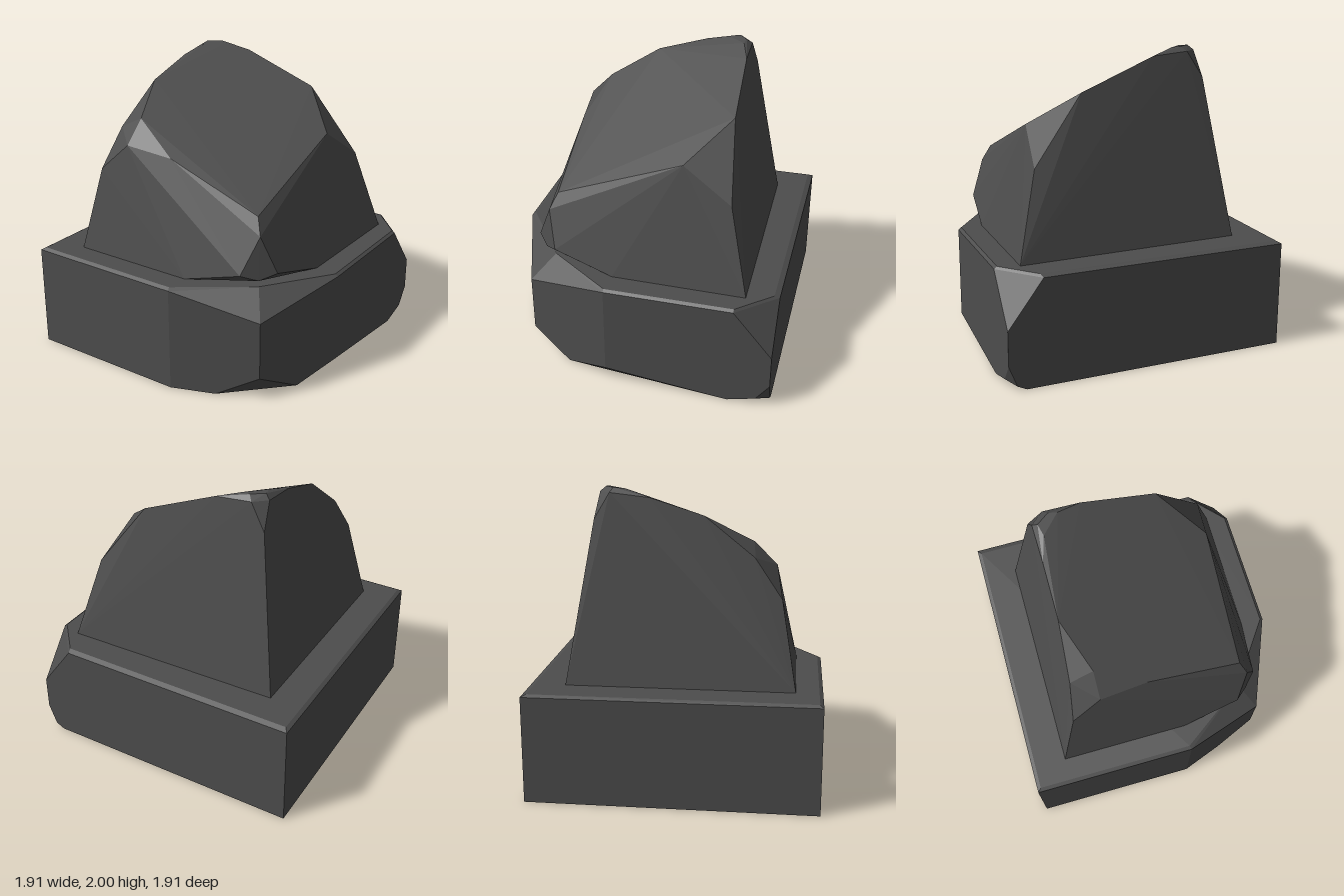
import * as THREE from 'three';
import { ConvexGeometry } from 'three/addons/geometries/ConvexGeometry.js';

const stone = new THREE.MeshStandardMaterial({ color: 0x4d4d4d, flatShading: true });
stone.name = 'dark stone';

// A chiselled block: the convex hull of its corner points
function block(name, corners) {
  const points = corners.map(([x, y, z]) => new THREE.Vector3(x, y, z));
  const mesh = new THREE.Mesh(new ConvexGeometry(points), stone);
  mesh.name = name;
  return mesh;
}

export function createModel() {
  const group = new THREE.Group();
  group.name = 'rock';

  group.add(block('baseSlab', [
    // underside
    [-0.96, 0, -0.96], [-0.96, 0, 0.955], [0.16, 0, 0.955], [0.45, 0, 0.85],
    [0.84, 0, 0.46], [0.955, 0, -0.68], [0.88, 0, -0.9], [0.84, 0, -0.96],
    // chipped lower corners
    [0.73, 0.16, 0.75], [0.955, 0.09, 0.16], [0.955, 0.05, -0.87],
    [0.955, 0.17, -0.96], [0.9, 0.03, -0.96],
    // upper rim of the side walls
    [-0.96, 0.715, -0.96], [-0.96, 0.715, 0.955], [0.16, 0.715, 0.955],
    [0.73, 0.56, 0.75], [0.955, 0.715, 0.16], [0.955, 0.715, -0.7],
    [0.955, 0.4, -0.96], [0.72, 0.715, -0.96],
    // flat top inside the narrow bevel
    [-0.935, 0.73, -0.925], [-0.935, 0.73, 0.93], [0.15, 0.73, 0.93],
    [0.62, 0.73, 0.6], [0.935, 0.73, 0.16], [0.935, 0.73, -0.7],
    [0.8, 0.73, -0.75], [0.73, 0.73, -0.925],
  ]));

  group.add(block('upperBoulder', [
    // foot resting on the slab
    [-0.72, 0.73, 0.78], [-0.72, 0.73, -0.72], [0.8, 0.73, -0.75],
    [0.79, 0.73, 0.15], [0.16, 0.73, 0.78],
    // undercut front corner
    [0.56, 0.84, 0.73], [0.65, 0.8, 0.65], [0.735, 0.84, 0.56], [0.64, 1.09, 0.62],
    // lower edge of the sloping face
    [0.59, 1.2, 0.57], [-0.07, 1.46, 0.6], [-0.4, 1.5, 0.64],
    [-0.6, 1.31, 0.68], [-0.56, 1.57, 0.5], [-0.4, 1.65, 0.49],
    // upper edges of the sloping face
    [-0.53, 1.83, 0.17], [-0.53, 1.94, -0.18], [-0.48, 1.99, -0.34],
    [-0.36, 1.995, -0.47], [-0.2, 1.95, -0.52], [0.31, 1.75, -0.55],
    [0.595, 1.52, -0.28], [0.65, 1.3, -0.61],
    // rounded peak
    [-0.5, 2, -0.42], [-0.42, 2, -0.48], [-0.535, 1.97, -0.44],
    [-0.45, 1.97, -0.515], [-0.555, 1.8, -0.54],
  ]));

  return group;
}
